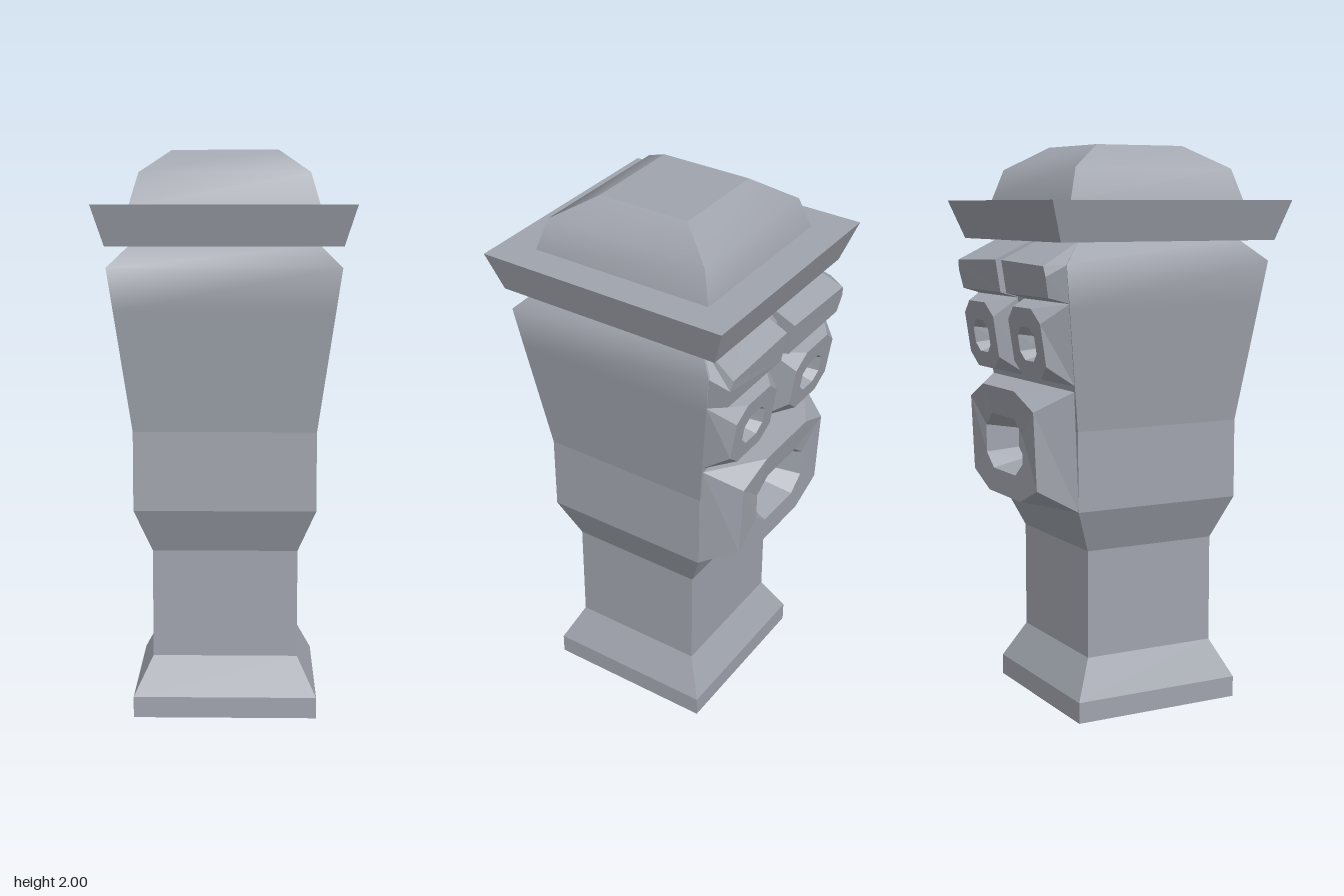
import * as THREE from 'three';

const stone = new THREE.MeshStandardMaterial({ color: 0xa0a4ad });
stone.name = 'greyStone';

// Flat-shaded skin through a chain of equal-length loops, capped at the last one
function loft(name, loops) {
  const out = [];
  const tri = (...pts) => pts.forEach((p) => out.push(...p));
  const same = (a, b) => a.every((v, k) => v === b[k]);
  for (let l = 0; l < loops.length - 1; l++) {
    const a = loops[l], b = loops[l + 1];
    a.forEach((p, i) => {
      const j = (i + 1) % a.length;
      if (!same(p, a[j])) tri(p, a[j], b[j]);
      if (!same(b[i], b[j])) tri(p, b[j], b[i]);
    });
  }
  const end = loops[loops.length - 1];
  for (let i = 1; i < end.length - 1; i++) tri(end[0], end[i], end[i + 1]);
  return toMesh(name, out);
}

function toMesh(name, positions, index) {
  const g = new THREE.BufferGeometry();
  g.setAttribute('position', new THREE.Float32BufferAttribute(positions, 3));
  if (index) g.setIndex(index);
  g.computeVertexNormals();
  const mesh = new THREE.Mesh(g, stone);
  mesh.name = name;
  return mesh;
}

// Square-section tower piece. Rings are [y, half width, front z, back z];
// rings within one section shade smoothly, section borders and corners are sharp.
function tower(name, sections) {
  const pos = [], idx = [];
  const corners = ([y, w, f, b]) => [[w, y, f], [w, y, b], [-w, y, b], [-w, y, f]];
  for (const rings of sections) {
    for (let s = 0; s < 4; s++) {
      const start = pos.length / 3;
      rings.forEach((r, k) => {
        const c = corners(r);
        pos.push(...c[s], ...c[(s + 1) % 4]);
        if (k) {
          const o = start + (k - 1) * 2;
          idx.push(o, o + 1, o + 3, o, o + 3, o + 2);
        }
      });
    }
  }
  const last = sections[sections.length - 1];
  const cap = (ring, order) => {
    const o = pos.length / 3;
    corners(ring).forEach((c) => pos.push(...c));
    idx.push(...order.map((i) => i + o));
  };
  cap(sections[0][0], [0, 2, 1, 0, 3, 2]);
  cap(last[last.length - 1], [0, 1, 2, 0, 2, 3]);
  return toMesh(name, pos, idx);
}

// Octagon on the -z side, counter-clockwise as seen from behind
function octagon(cx, cy, w, h, fx, fy, zAt) {
  return [[1, -fy], [1, fy], [fx, 1], [-fx, 1], [-1, fy], [-1, -fy], [-fx, -1], [fx, -1]]
    .map(([u, v]) => [-(cx + u * w), cy + v * h, zAt(cy + v * h)]);
}

// Four base corners doubled up to match an octagon
const doubled = (br, tr, tl, bl) => [br, tr, tr, tl, tl, bl, bl, br];
const mirror = (loops) => loops.map((l) => l.map(([x, y, z]) => [-x, y, z]).reverse());

export function createModel() {
  const model = new THREE.Group();
  model.name = 'carvedPillar';

  // Pillar from foot to shoulder
  const r = [
    [0, 0.325, 0.32, -0.315], [0.075, 0.325, 0.32, -0.315],
    [0.21, 0.257, 0.255, -0.245], [0.595, 0.257, 0.255, -0.245],
    [0.75, 0.32, 0.317, -0.312], [1.03, 0.32, 0.317, -0.314],
    [1.45, 0.379, 0.377, -0.372], [1.6, 0.4, 0.398, -0.393], [1.675, 0.325, 0.32, -0.312],
  ];
  model.add(tower('pillarBody', [
    [r[0], r[1]], [r[1], r[2]], [r[2], r[3]], [r[3], r[4]], [r[4], r[5]],
    [r[5], r[6]], [r[6], r[7], r[8]],
  ]));

  // Flared slab and domed cap
  model.add(tower('hatSlab', [[[1.672, 0.402, 0.422, -0.415], [1.81, 0.445, 0.465, -0.465]]]));
  model.add(tower('hatCap', [[
    [1.81, 0.325, 0.34, -0.34], [1.92, 0.293, 0.308, -0.305], [2, 0.186, 0.17, -0.17],
  ]]));

  // Mouth: block tapering to a ring with a hollow
  const mouthZ = (y) => (y > 1.03 ? -0.445 - (y - 1.03) * 0.17 : -0.445);
  model.add(loft('mouth', [
    doubled([-0.317, 0.75, -0.31], [-0.335, 1.17, -0.335], [0.335, 1.17, -0.335], [0.317, 0.75, -0.31]),
    octagon(0, 0.963, 0.268, 0.195, 0.5, 0.7, mouthZ),
    octagon(0, 0.955, 0.155, 0.1, 0.6, 0.5, mouthZ),
    octagon(0, 0.955, 0.115, 0.07, 0.6, 0.5, () => -0.335),
  ]));

  // Eyes: hollow rings on tapering blocks
  const eyeZ = (y) => -0.425 - (y - 1.21) * 0.15;
  const eye = [
    doubled([-0.34, 1.19, -0.335], [-0.38, 1.47, -0.373], [-0.025, 1.47, -0.373], [-0.025, 1.19, -0.335]),
    octagon(0.193, 1.33, 0.128, 0.12, 0.55, 0.6, eyeZ),
    octagon(0.193, 1.325, 0.066, 0.058, 0.5, 0.5, eyeZ),
    octagon(0.193, 1.325, 0.045, 0.04, 0.5, 0.5, () => -0.375),
  ];
  model.add(loft('rightEye', eye), loft('leftEye', mirror(eye)));

  // Brows: slabs sloping up to the hat
  const brow = [
    [[-0.38, 1.47, -0.37], [-0.4, 1.6, -0.39], [-0.325, 1.675, -0.31], [-0.025, 1.675, -0.31], [-0.025, 1.47, -0.37]],
    [[-0.36, 1.49, -0.442], [-0.37, 1.56, -0.456], [-0.36, 1.595, -0.46], [-0.025, 1.605, -0.46], [-0.025, 1.49, -0.442]],
  ];
  model.add(loft('rightBrow', brow), loft('leftBrow', mirror(brow)));

  return model;
}
